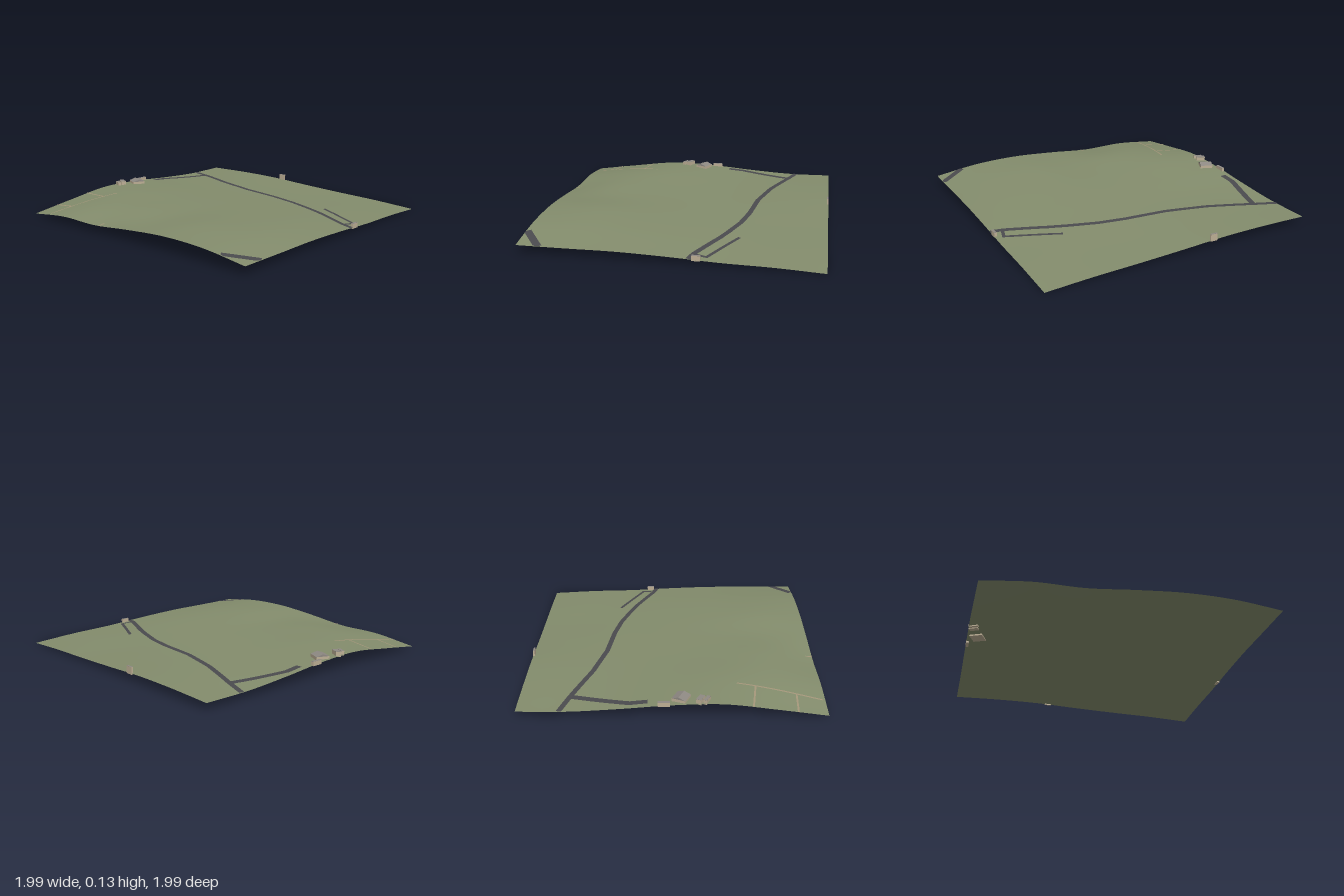
import * as THREE from 'three';

const MIN = -1, MAX = 0.985;

// Terrain heights in hundredths: rows run back to front, columns left to right in x
const HEIGHTS = [
  [5.0, 5.7, 5.5, 4.0, 2.7, 1.7, 0.0],
  [5.0, 5.8, 5.8, 5.0, 3.8, 3.0, 1.8],
  [7.0, 6.8, 6.6, 6.2, 5.5, 4.5, 2.7],
  [9.7, 9.3, 8.5, 8.0, 7.5, 6.6, 4.5],
  [10.4, 11.1, 10.0, 9.2, 9.5, 8.5, 5.7],
  [6.5, 9.8, 10.2, 9.5, 11.2, 9.8, 5.8],
  [2.0, 5.5, 5.5, 8.5, 10.7, 10.0, 6.0],
];

const clamp = (v) => Math.min(MAX, Math.max(MIN, v));

// Smooth interpolation through evenly spaced values
function spline(v, t) {
  const n = v.length - 1;
  const i = Math.min(n - 1, Math.floor(t)), f = t - i;
  const b = v[i], c = v[i + 1];
  const a = i > 0 ? v[i - 1] : 2 * b - c;
  const d = i + 2 <= n ? v[i + 2] : 2 * c - b;
  return b + 0.5 * f * (c - a + f * (2 * a - 5 * b + 4 * c - d + f * (3 * (b - c) + d - a)));
}

function heightAt(x, z) {
  const u = ((clamp(x) - MIN) / (MAX - MIN)) * 6;
  const w = ((clamp(z) - MIN) / (MAX - MIN)) * 6;
  return Math.max(0, spline(HEIGHTS.map((row) => spline(row, u)), w) / 100);
}

const material = (color) => new THREE.MeshStandardMaterial({ color, side: THREE.DoubleSide });

function addMesh(parent, name, geometry, mat) {
  const mesh = new THREE.Mesh(geometry, mat);
  mesh.name = name;
  parent.add(mesh);
  return mesh;
}

// Rolling ground sheet
function terrainGeometry() {
  const size = MAX - MIN, mid = (MAX + MIN) / 2;
  const g = new THREE.PlaneGeometry(size, size, 48, 48).rotateX(-Math.PI / 2).translate(mid, 0, mid);
  const p = g.attributes.position;
  for (let i = 0; i < p.count; i++) p.setY(i, heightAt(p.getX(i), p.getZ(i)));
  g.computeVertexNormals();
  return g;
}

// Flat strip draped over the ground along a line of [x, z] points
function ribbonGeometry(line, width, lift) {
  const pts = [];
  line.forEach(([x, z], i) => {
    if (i === 0) return pts.push(new THREE.Vector2(x, z));
    const [px, pz] = line[i - 1];
    const steps = Math.max(1, Math.ceil(Math.hypot(x - px, z - pz) / 0.03));
    for (let s = 1; s <= steps; s++) {
      pts.push(new THREE.Vector2(px + ((x - px) * s) / steps, pz + ((z - pz) * s) / steps));
    }
  });
  const positions = [], index = [];
  pts.forEach((p, i) => {
    const before = p.clone().sub(pts[Math.max(0, i - 1)]).normalize();
    const after = pts[Math.min(pts.length - 1, i + 1)].clone().sub(p).normalize();
    const dir = before.clone().add(after).normalize();
    const ref = i === 0 ? after : before;
    const half = width / 2 / Math.max(0.6, dir.dot(ref));
    for (const side of [-1, 0, 1]) {
      const x = clamp(p.x - dir.y * half * side), z = clamp(p.y + dir.x * half * side);
      positions.push(x, heightAt(x, z) + lift, z);
    }
    if (i === 0) return;
    for (const k of [0, 1]) {
      const a = (i - 1) * 3 + k, b = a + 1, c = a + 3, d = a + 4;
      index.push(a, b, c, b, d, c);
    }
  });
  const g = new THREE.BufferGeometry();
  g.setAttribute('position', new THREE.Float32BufferAttribute(positions, 3));
  g.setIndex(index);
  g.computeVertexNormals();
  return g;
}

// Building with walls and a flat or gabled roof, ridge along its local x
function addBuilding(parent, name, { x, z, length, depth, top, wall, turn = 0 }, walls, roof) {
  const group = new THREE.Group();
  group.name = name;
  group.position.set(x, 0, z);
  group.rotation.y = turn;
  const base = heightAt(x, z) - 0.008;
  const eaves = wall ?? top;
  const body = addMesh(group, 'walls', new THREE.BoxGeometry(length, eaves - base, depth), walls);
  body.position.y = (eaves + base) / 2;
  if (wall) {
    const gable = new THREE.Shape([
      new THREE.Vector2(-depth / 2, 0), new THREE.Vector2(depth / 2, 0), new THREE.Vector2(0, top - wall),
    ]);
    const g = new THREE.ExtrudeGeometry(gable, { depth: length, bevelEnabled: false });
    g.translate(0, 0, -length / 2).rotateY(Math.PI / 2);
    addMesh(group, 'gableRoof', g, roof).position.y = wall;
  } else {
    const slab = addMesh(group, 'flatRoof', new THREE.BoxGeometry(length, 0.002, depth), roof);
    slab.position.y = top;
  }
  parent.add(group);
}

export function createModel() {
  const model = new THREE.Group();
  model.name = 'landscape';
  const grass = material(0x838c6c), asphalt = material(0x4a4a4e), dirt = material(0xa39579);
  const walls = material(0xbcae94), roof = material(0x8e8983);

  addMesh(model, 'terrain', terrainGeometry(), grass);

  // Roads
  const roads = [
    ['mainRoad', 0.036, [[-1, -0.725], [-0.83, -0.67], [-0.5, -0.55], [-0.2, -0.475], [0.1, -0.44],
      [0.3, -0.4], [0.5, -0.335], [0.62, -0.29], [0.9, -0.165], [0.985, -0.142]]],
    ['branchRoad', 0.045, [[-0.83, -0.67], [-0.942, -0.28], [-0.938, -0.165]]],
    ['sideLane', 0.023, [[0.575, -0.42], [0.93, -0.25], [0.908, -0.17]]],
    ['cornerRoad', 0.05, [[0.79, 0.975], [0.985, 0.835]]],
  ];
  for (const [name, width, line] of roads) {
    addMesh(model, name, ribbonGeometry(line, width, 0.003), asphalt);
  }

  // Footpaths
  const paths = [
    [[-0.745, 0.415], [-0.845, 0.965]],
    [[-1, 0.505], [-0.768, 0.537]],
    [[-1, 0.79], [-0.815, 0.8]],
    [[-0.29, 0.94], [-0.287, 0.985]],
  ];
  for (const line of paths) addMesh(model, 'footpath', ribbonGeometry(line, 0.012, 0.002), dirt);

  // Buildings
  const buildings = [
    ['house', { x: -0.925, z: 0.05, length: 0.093, depth: 0.094, wall: 0.118, top: 0.134, turn: -0.42 }],
    ['longShed', { x: -0.963, z: 0.172, length: 0.066, depth: 0.036, top: 0.133, turn: -0.45 }],
    ['narrowShed', { x: -0.965, z: 0.213, length: 0.062, depth: 0.022, top: 0.13, turn: -0.45 }],
    ['leftEdgeHut', { x: -0.99, z: -0.06, length: 0.02, depth: 0.078, top: 0.115 }],
    ['rightEdgeHut', { x: 0.975, z: -0.19, length: 0.018, depth: 0.055, top: 0.062 }],
    ['backEdgeHut', { x: -0.238, z: -0.994, length: 0.052, depth: 0.012, top: 0.094 }],
  ];
  for (const [name, spec] of buildings) addBuilding(model, name, spec, walls, roof);

  return model;
}
